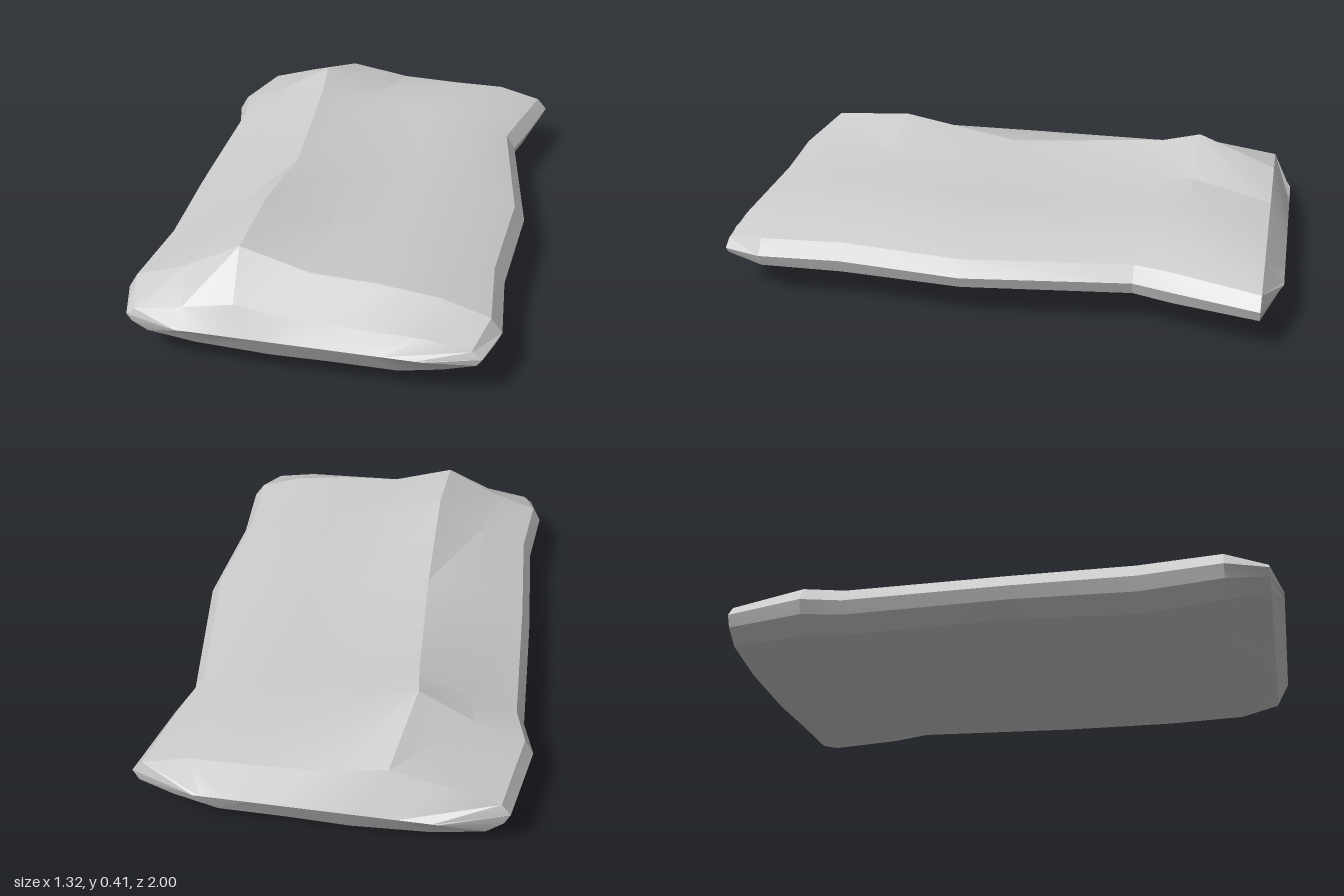
import * as THREE from 'three';
import { toCreasedNormals } from 'three/addons/utils/BufferGeometryUtils.js';

const MID = 0.155; // height of the seam where the ends pinch shut

// Cross-sections from back to front:
// z, left x, right x, ridge height, crown height, rise scale, drop scale
const stations = [
  [-1.0, -0.38, 0.43, MID, MID, 0, 0],
  [-0.93, -0.605, 0.655, 0.305, 0.265, 0.78, 0.84],
  [-0.64, -0.66, 0.595, 0.395, 0.31, 1, 0.97],
  [-0.5, -0.62, 0.56, 0.365, 0.3, 0.97, 0.91],
  [0.08, -0.605, 0.655, 0.325, 0.298, 0.97, 0.82],
  [0.52, -0.58, 0.63, 0.405, 0.325, 1, 1],
  [0.81, -0.605, 0.655, 0.38, 0.31, 0.95, 0.87],
  [0.955, -0.56, 0.61, 0.25, 0.222, 0.45, 0.52],
  [1.0, -0.38, 0.43, MID, MID, 0, 0],
];

// One closed ring: from the right edge over the top, then back underneath
function ring([z, left, right, ridge, crown, rise, drop]) {
  const up = (d) => MID + d * rise;
  const down = (d) => MID - d * drop;
  const profile = [
    [-1, up(0.015)], [-0.95, up(0.07)], [-0.67, up(0.133)], [-0.37, ridge],
    [0, crown], [0.36, crown - 0.012 * rise], [0.68, up(0.125)], [0.94, up(0.07)], [1, up(0.015)],
    [0.97, down(0.035)], [0.79, down(0.095)], [0.55, down(0.148)], [0.18, down(0.148)],
    [-0.17, down(0.155)], [-0.6, down(0.135)], [-0.88, down(0.093)], [-0.97, down(0.035)],
  ];
  const centre = (left + right) / 2;
  const half = (right - left) / 2;
  return profile.map(([u, y]) => [centre + u * half, y, z]);
}

// Skin the rings into one closed surface
function loft(rings) {
  const n = rings[0].length;
  const index = [];
  for (let i = 0; i < rings.length - 1; i++) {
    for (let j = 0; j < n; j++) {
      const a = i * n + j;
      const b = i * n + (j + 1) % n;
      index.push(a, a + n, b, b, a + n, b + n);
    }
  }
  const geometry = new THREE.BufferGeometry();
  geometry.setAttribute('position', new THREE.Float32BufferAttribute(rings.flat(2), 3));
  geometry.setIndex(index);
  return toCreasedNormals(geometry, 0.3);
}

export function createModel() {
  const group = new THREE.Group();
  group.name = 'stoneSlab';
  const slab = new THREE.Mesh(
    loft(stations.map(ring)),
    new THREE.MeshStandardMaterial({ color: 0xcccccc })
  );
  slab.name = 'slab';
  group.add(slab);
  return group;
}
